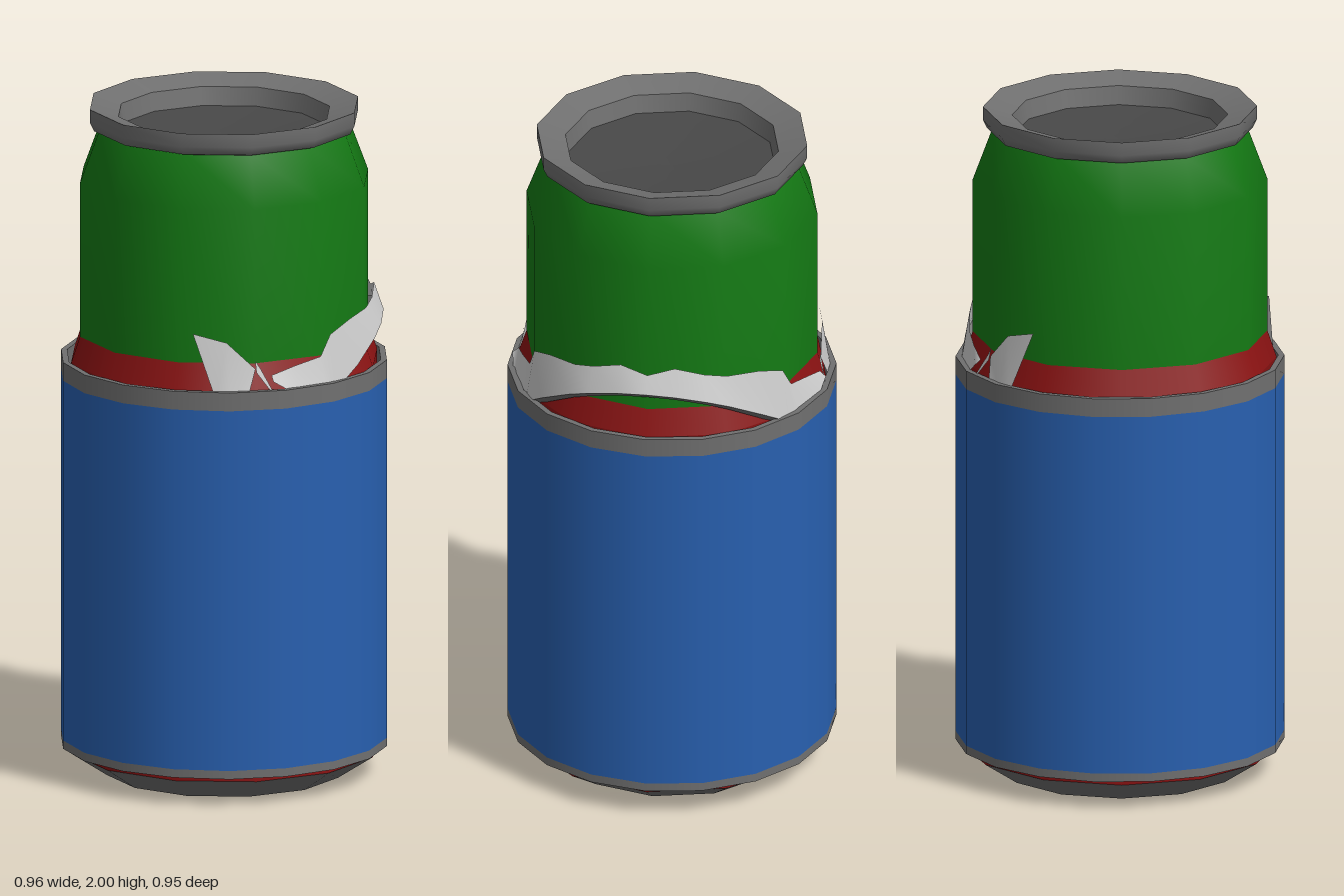
import * as THREE from 'three';

const GREY = 0x707070, RED = 0x8a1212, GREEN = 0x147a14, BLUE = 0x2860b0, FOIL = 0xcccccc;

const mat = (color) => new THREE.MeshStandardMaterial({ color, side: THREE.DoubleSide });

// Turned part; each profile corner is a vertex ring, first side on +x
function turned(name, points, sides, color) {
  const profile = points.map(([r, y]) => new THREE.Vector2(r, y));
  const mesh = new THREE.Mesh(new THREE.LatheGeometry(profile, sides, Math.PI / 2), mat(color));
  mesh.name = name;
  return mesh;
}

// Torn foil hugs the can: wider near the sleeve, close to the wall higher up
const hug = (y) => 0.438 + 0.027 * THREE.MathUtils.clamp((1.31 - y) / 0.07, 0, 1);

// Ribbon skinned over columns; a column is a list of [degrees, radius, y]
function ribbon(name, columns, color) {
  const pos = [], index = [], n = columns[0].length;
  for (const column of columns) {
    for (const [deg, r, y] of column) {
      const a = THREE.MathUtils.degToRad(deg);
      pos.push(r * Math.cos(a), y, r * Math.sin(a));
    }
  }
  for (let i = 0; i < columns.length - 1; i++) {
    for (let j = 0; j < n - 1; j++) {
      const a = i * n + j, b = a + 1, c = a + n, d = c + 1;
      index.push(a, c, b, c, d, b);
    }
  }
  const geo = new THREE.BufferGeometry();
  geo.setAttribute('position', new THREE.Float32BufferAttribute(pos, 3));
  geo.setIndex(index);
  geo.computeVertexNormals();
  const mesh = new THREE.Mesh(geo, mat(color));
  mesh.name = name;
  return mesh;
}

export function createModel() {
  const model = new THREE.Group();
  model.name = 'canInSleeve';

  // Sleeve: blue wall between two grey bands, open tube
  const sleeve = new THREE.Group();
  sleeve.name = 'sleeve';
  sleeve.add(
    turned('lowerBand', [[0.48, 0.085], [0.48, 0.11]], 18, GREY),
    turned('sleeveWall', [[0.48, 0.11], [0.48, 1.19]], 18, BLUE),
    turned('upperBand', [[0.48, 1.19], [0.48, 1.245]], 18, GREY),
    turned('topEdge', [[0.48, 1.245], [0.462, 1.245]], 18, GREY),
    turned('bottomEdge', [[0.462, 0.085], [0.48, 0.085]], 18, GREY),
    turned('innerWall', [[0.462, 1.245], [0.462, 0.085]], 18, GREY),
  );

  // Lower can: red shell with a sloping broken top, grey foot and hollow base
  const lower = new THREE.Group();
  lower.name = 'lowerCan';
  lower.add(
    turned('redShell', [[0.457, 0.07], [0.457, 1.24]], 12, RED),
    turned('redShoulder', [[0.457, 1.24], [0.43, 1.32]], 12, RED),
    turned('foot', [[0.35, 0], [0.457, 0.07]], 12, GREY),
    turned('footRing', [[0.32, 0.005], [0.35, 0]], 12, GREY),
    turned('baseDome', [[0, 0.1], [0.16, 0.08], [0.27, 0.045], [0.32, 0.005]], 12, GREY),
  );

  // Upper can: green body with a tapered shoulder, grey rim and recessed lid
  const upper = new THREE.Group();
  upper.name = 'upperCan';
  upper.add(
    turned('greenBody', [[0.43, 1.22], [0.43, 1.78], [0.372, 1.935]], 12, GREEN),
    turned('rimSide', [[0.37, 1.93], [0.388, 1.935], [0.4, 1.96], [0.4, 2]], 12, GREY),
    turned('rimTop', [[0.4, 2], [0.315, 1.975]], 12, GREY),
    turned('lidWall', [[0.315, 1.975], [0.305, 1.92]], 12, GREY),
    turned('lid', [[0.305, 1.92], [0.15, 1.905], [0, 1.9]], 12, 0x484848),
  );

  // Torn foil strip arching over the left side: [degrees, top, bottom]
  const foil = new THREE.Group();
  foil.name = 'tornFoil';
  const half = [
    [0, 1.435, 1.385], [10.5, 1.46, 1.379], [22, 1.435, 1.358], [31, 1.42, 1.332],
    [45, 1.41, 1.276], [57, 1.38, 1.22], [62, 1.32, 1.22], [74, 1.305, 1.22], [84, 1.285, 1.27],
  ];
  const arch = [...half.slice(1).reverse().map(([d, t, b]) => [-d, t, b]), ...half];
  foil.add(
    ribbon('foilStrip', arch.map(([d, t, b]) => [[d, hug(t), t], [d, 0.466, b]]), FOIL),
    ribbon('foilLip', arch.slice(3, -3).map(([d, , b]) => [[d, 0.466, b], [d, 0.44, b - 0.02]]), GREY),
  );

  // Loose shards, front and back: [top degrees, top, bottom degrees, bottom]
  const shards = [
    [[114, 1.41, 105, 1.22], [101, 1.385, 100, 1.22], [90, 1.305, 93.5, 1.22]],
    [[90, 1.33, 90, 1.325], [88, 1.305, 89.7, 1.295], [84, 1.24, 84.3, 1.235]],
  ];
  for (const side of [1, -1]) {
    for (const shard of shards) {
      const columns = shard.map(([dt, t, db, b]) => [[side * dt, hug(t), t], [side * db, hug(b), b]]);
      foil.add(ribbon(side > 0 ? 'frontShard' : 'backShard', columns, FOIL));
    }
  }

  model.add(sleeve, lower, upper, foil);
  return model;
}
